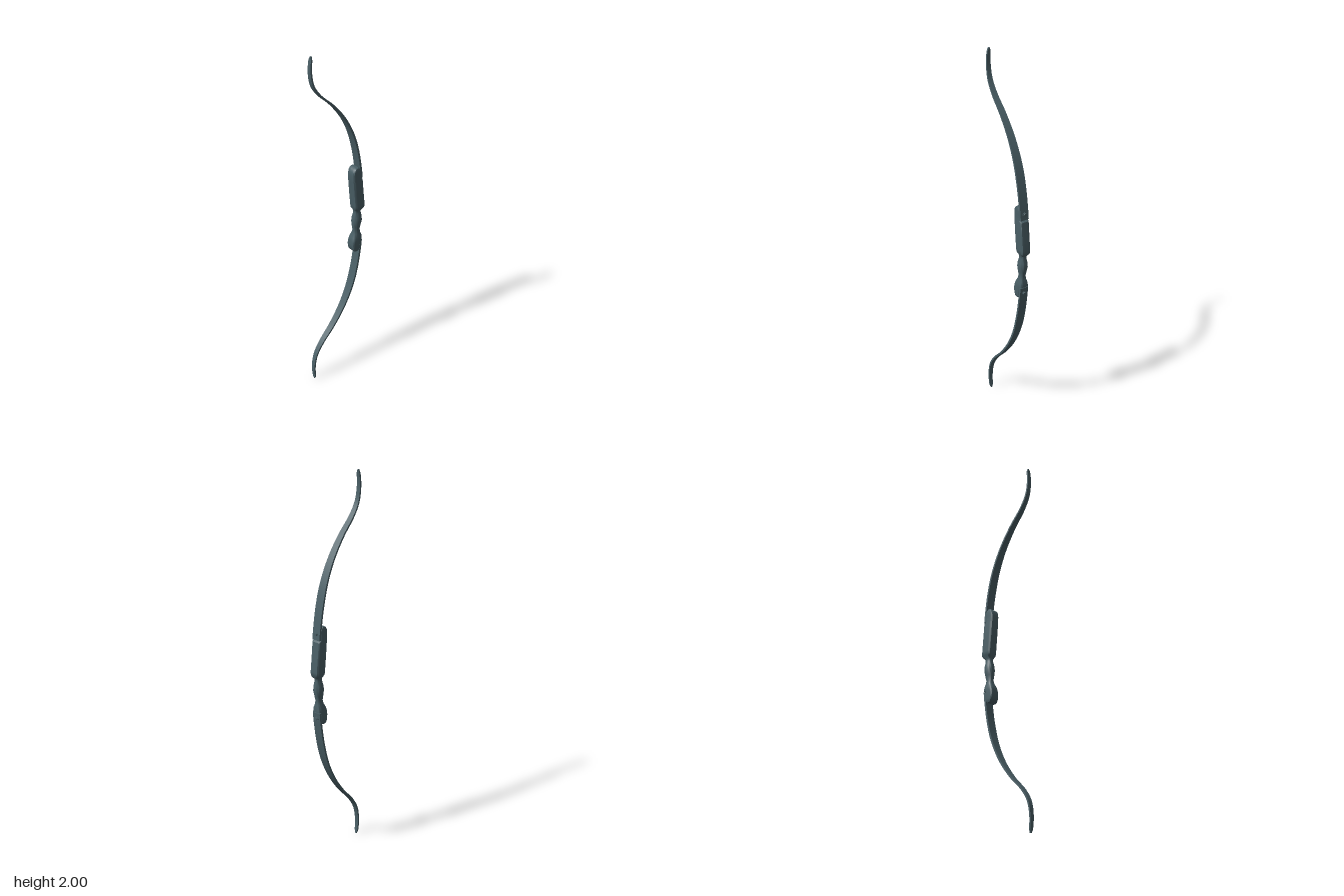
import * as THREE from 'three';
import { toCreasedNormals } from 'three/addons/utils/BufferGeometryUtils.js';

const material = new THREE.MeshStandardMaterial({ color: 0x4a5f66 });

// Skin a closed surface over rings of points, with a centre point at each end.
function loft(rings, crease) {
  const n = rings[0].length;
  const closed = (ring) => {
    const c = new THREE.Vector3();
    ring.forEach((p) => c.addScaledVector(p, 1 / n));
    return ring.map(() => c);
  };
  const all = [closed(rings[0]), ...rings, closed(rings[rings.length - 1])];
  const index = [];
  for (let j = 0; j < all.length - 1; j++) {
    for (let i = 0; i < n; i++) {
      const a = j * n + i, b = j * n + (i + 1) % n;
      if (j < all.length - 2) index.push(a, a + n, b + n);
      if (j > 0) index.push(a, b + n, b);
    }
  }
  const geometry = new THREE.BufferGeometry().setFromPoints(all.flat());
  geometry.setIndex(index);
  return toCreasedNormals(geometry, crease);
}

function add(parent, name, geometry) {
  const mesh = new THREE.Mesh(geometry, material);
  mesh.name = name;
  parent.add(mesh);
  return mesh;
}

// Flat recurved limb, tapering to a rounded tip; heights are relative to the bow's middle.
function limbGeometry() {
  const curve = new THREE.CatmullRomCurve3([
    [0.145, 0.195], [0.139, 0.25], [0.12, 0.365], [0.088, 0.48], [0.036, 0.59], [-0.035, 0.69],
    [-0.113, 0.775], [-0.152, 0.84], [-0.166, 0.92], [-0.16, 1],
  ].map(([x, y]) => new THREE.Vector3(x, y, 0)));
  const steps = 72;
  const rings = [];
  for (let k = 0; k <= steps; k++) {
    const u = k / steps;
    const p = curve.getPointAt(u), t = curve.getTangentAt(u);
    const normal = new THREE.Vector3(t.y, -t.x, 0);
    const tip = Math.sqrt(Math.min(1, (1 - u) / 0.025 + 0.06));
    const w = (u < 0.25 ? 0.0235 : 0.0235 - 0.0145 * (u - 0.25) / 0.75) * tip;
    const h = 0.0058 - 0.0015 * u;
    rings.push([[1, -1], [1, 1], [-1, 1], [-1, -1]].map(([a, b]) =>
      p.clone().addScaledVector(normal, a * h).setZ(b * w)));
  }
  return loft(rings, 0.6);
}

// Riser sections: height, back x, front x, half width, squareness (2 = oval).
function riserGeometry() {
  const sections = [
    [0.742, 0.108, 0.126, 0.022, 8], [0.747, 0.1, 0.132, 0.024, 8],
    [0.762, 0.092, 0.139, 0.025, 8], [0.79, 0.09, 0.141, 0.025, 8],
    [0.806, 0.092, 0.142, 0.025, 8], [0.809, 0.092, 0.153, 0.025, 7],
    [0.83, 0.098, 0.154, 0.023, 5], [0.85, 0.107, 0.15, 0.018, 3],
    [0.87, 0.11, 0.149, 0.0155, 2.3], [0.895, 0.106, 0.155, 0.019, 2.2],
    [0.925, 0.104, 0.161, 0.0245, 2.2], [0.95, 0.107, 0.16, 0.022, 2.2],
    [0.975, 0.114, 0.155, 0.0165, 2.2], [0.99, 0.116, 0.155, 0.016, 2.6],
    [1.0, 0.113, 0.163, 0.021, 5], [1.01, 0.108, 0.168, 0.025, 8],
    [1.03, 0.106, 0.168, 0.026, 8], [1.1, 0.099, 0.161, 0.026, 8],
    [1.185, 0.092, 0.153, 0.026, 8], [1.194, 0.091, 0.142, 0.025, 8],
    [1.225, 0.09, 0.141, 0.025, 8], [1.245, 0.092, 0.138, 0.025, 8],
    [1.258, 0.1, 0.132, 0.024, 8], [1.264, 0.108, 0.126, 0.022, 8],
  ];
  const rings = sections.map(([y, x0, x1, w, e]) => Array.from({ length: 32 }, (_, i) => {
    const a = (i + 0.5) / 32 * Math.PI * 2;
    const c = Math.cos(a), s = Math.sin(a);
    const r = (Math.abs(c) ** e + Math.abs(s) ** e) ** (-1 / e);
    return new THREE.Vector3((x0 + x1) / 2 + r * c * (x1 - x0) / 2, y, r * s * w);
  }));
  return loft(rings, 0.7);
}

export function createModel() {
  const bow = new THREE.Group();
  bow.name = 'recurveBow';
  add(bow, 'riser', riserGeometry());

  const limb = limbGeometry();
  for (const side of ['upper', 'lower']) {
    const half = new THREE.Group();
    half.name = side + 'Half';
    half.position.y = 1;
    if (side === 'lower') half.rotation.x = Math.PI;
    add(half, side + 'Limb', limb);

    // Bolt clamping the limb into its pocket
    const bolt = new THREE.Group();
    bolt.name = side + 'LimbBolt';
    bolt.position.set(0.147, 0.227, 0);
    bolt.rotation.z = -Math.PI / 2;
    add(bolt, 'washer', new THREE.CylinderGeometry(0.011, 0.011, 0.006, 20));
    add(bolt, 'boltShank', new THREE.CylinderGeometry(0.005, 0.005, 0.014, 16));
    add(bolt, 'boltHead', new THREE.CylinderGeometry(0.008, 0.009, 0.005, 16)).position.y = 0.007;
    half.add(bolt);
    bow.add(half);
  }
  return bow;
}
